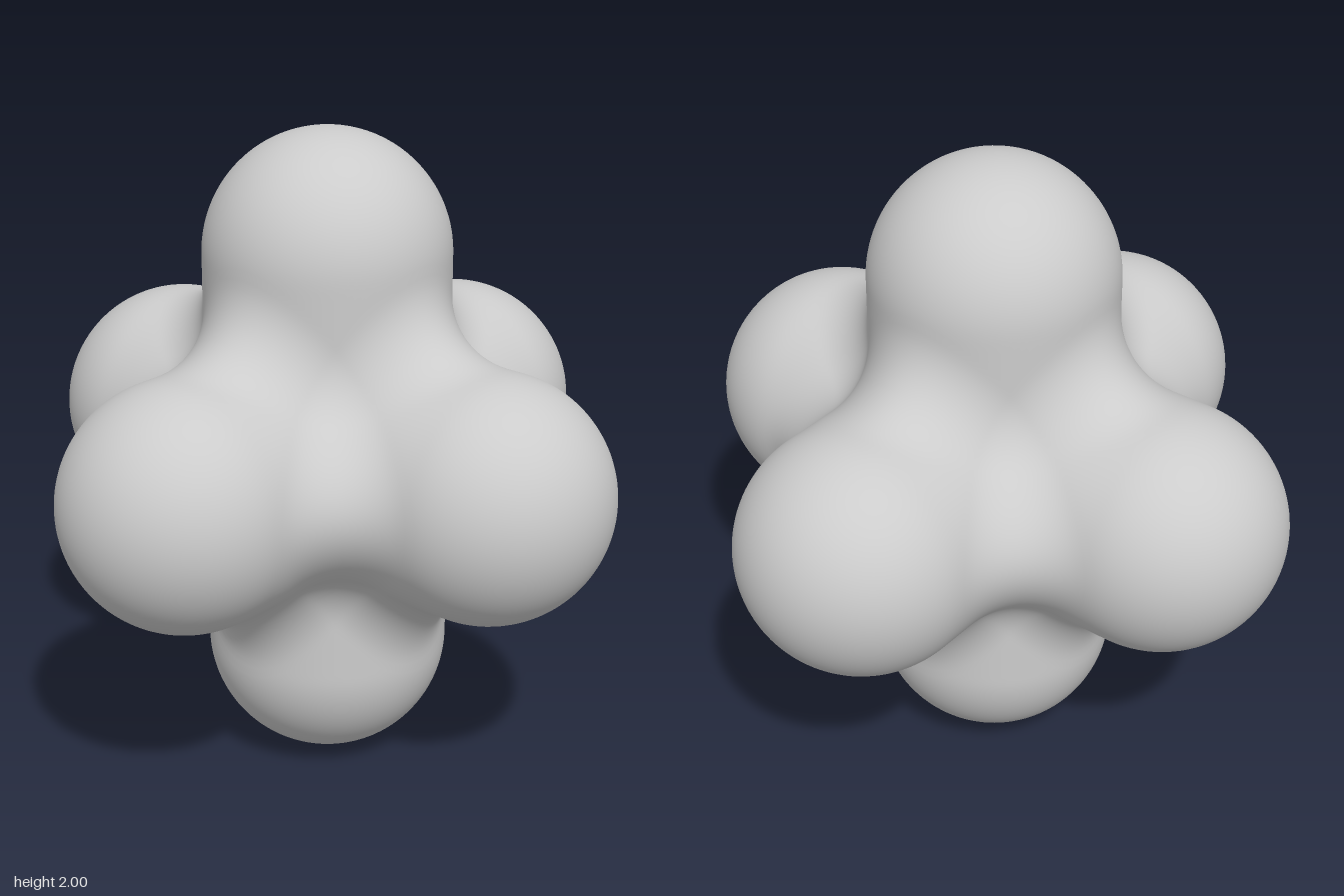
import * as THREE from 'three';
import { mergeVertices } from 'three/addons/utils/BufferGeometryUtils.js';

const ARM = 0.376;        // arm radius
const REACH = 1 - ARM;    // centre of each rounded arm end
const FILLET = 0.248;     // radius of the blend between arms
const R = ARM + FILLET;   // distance from an arm axis to the blend centre

// Centres of the blend ball as it rolls along the seam between two arms
const seam = [];
for (let i = 0; i <= 80; i++) {
  const s = R * Math.cos((i / 80) * Math.PI / 4);
  seam.push([s, Math.sqrt(Math.max(0, R * R - s * s))]);
}

// Distance from the centre to the surface along a unit direction
function surfaceRadius(dir) {
  const [a, b, c] = [dir.x, dir.y, dir.z].map(Math.abs).sort((m, n) => n - m);
  const rho = Math.hypot(b, c);
  const t = rho > 1e-6 ? ARM / rho : Infinity;

  // rounded arm end
  if (a * t >= REACH) {
    const k = a * REACH;
    return k + Math.sqrt(Math.max(0, k * k - REACH * REACH + ARM * ARM));
  }
  // straight side of the arm
  if (a * t >= R * b / rho) return t;

  // concave blend between neighbouring arms
  let best = Infinity;
  for (const [s, z] of seam) {
    const k = (a + b) * s + c * z;
    const disc = k * k - (2 * s * s + z * z) + FILLET * FILLET;
    if (disc >= 0) best = Math.min(best, k - Math.sqrt(disc));
  }
  return best < Infinity ? Math.max(best, t) : t;
}

export function createModel() {
  const group = new THREE.Group();
  group.name = 'sixArmedBlob';

  // Evenly divided cube, pushed out to the blended surface
  let geometry = new THREE.BoxGeometry(2, 2, 2, 72, 72, 72);
  geometry.deleteAttribute('uv');
  geometry.deleteAttribute('normal');
  geometry = mergeVertices(geometry, 1e-4);
  const pos = geometry.attributes.position;
  const v = new THREE.Vector3();
  const even = (u) => Math.tan(u * Math.PI / 4);
  for (let i = 0; i < pos.count; i++) {
    v.fromBufferAttribute(pos, i);
    v.set(even(v.x), even(v.y), even(v.z)).normalize();
    v.multiplyScalar(surfaceRadius(v));
    pos.setXYZ(i, v.x, v.y, v.z);
  }
  geometry.computeVertexNormals();

  const body = new THREE.Mesh(geometry, new THREE.MeshStandardMaterial({ color: 0xcccccc }));
  body.name = 'body';
  body.position.y = 1;
  group.add(body);
  return group;
}
